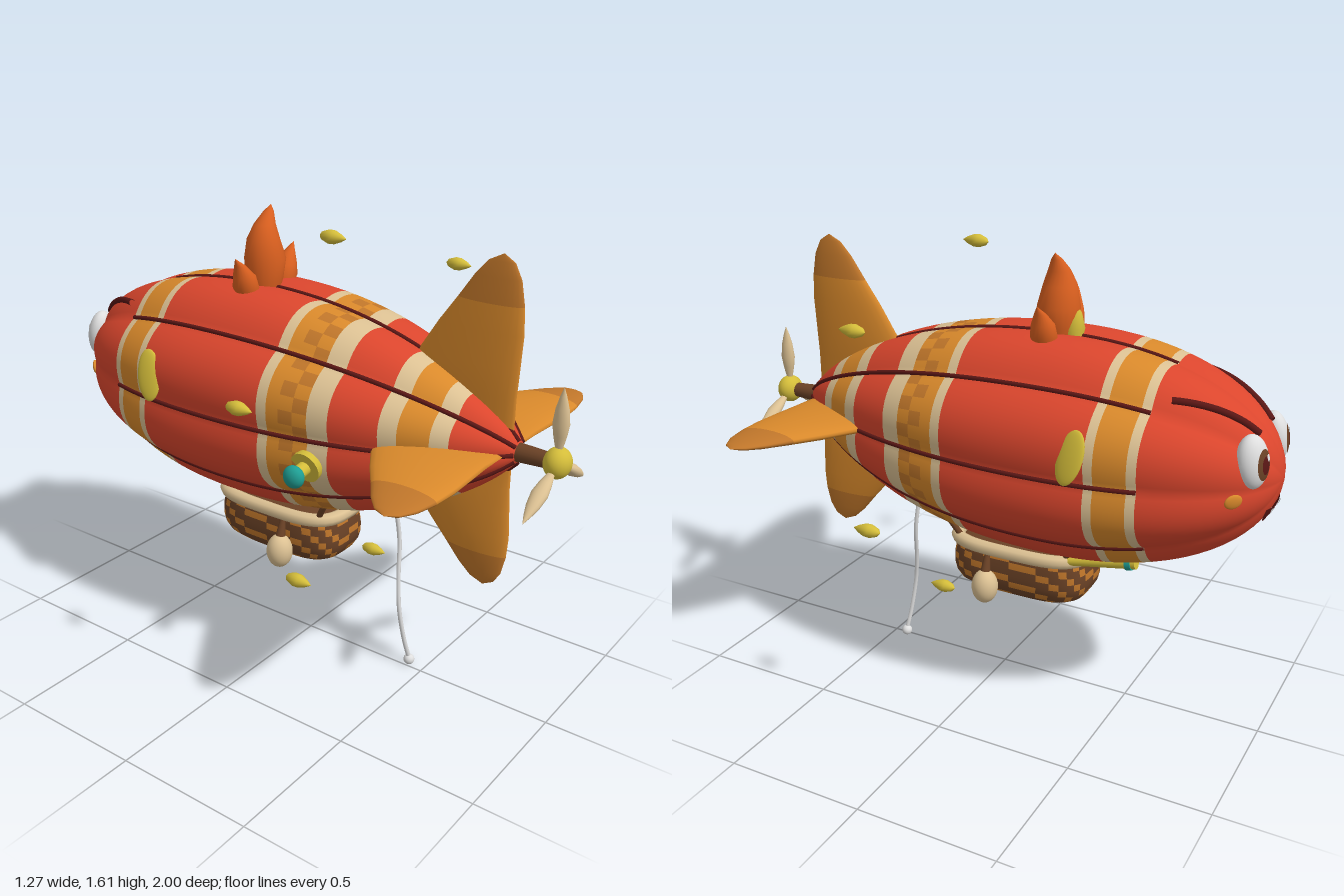
import * as THREE from 'three';

const mat = (name, color) => Object.assign(new THREE.MeshStandardMaterial({ color }), { name });
const V = (x, y, z) => new THREE.Vector3(x, y, z);
const AXIS = 0.96; // height of the hull's centre line

// Hull radius along z, its inverse on the nose, and the lobed skin
const radius = z => z < -0.22
  ? 0.385 * Math.sqrt(Math.max(0, 1 - ((-0.22 - z) / 0.78) ** 2.2))
  : 0.385 * Math.max(0, 1 - ((z + 0.22) / 1.06) ** 2.2) ** 0.75;
const noseZ = r => -0.22 - 0.78 * (1 - (r / 0.385) ** 2) ** (1 / 2.2);
const skin = (angle, z, lift = 0) => {
  const r = radius(z) * (0.972 + 0.075 * Math.abs(Math.sin(4 * angle))) + lift;
  return V(r * Math.cos(angle), AXIS + r * Math.sin(angle), z);
};

// Joins closed rings into a skin; pick(row, column) chooses the material index
function loft(rings, count = 1, pick = () => 0) {
  const n = rings[0].length, lists = Array.from({ length: count }, () => []);
  for (let i = 0; i < rings.length - 1; i++) for (let j = 0; j < n; j++) {
    const a = i * n + j, b = i * n + (j + 1) % n;
    lists[pick(i, j)].push(a, b, b + n, a, b + n, a + n);
  }
  const g = new THREE.BufferGeometry().setFromPoints(rings.flat());
  g.setIndex(lists.flat());
  let start = 0;
  lists.forEach((l, k) => { g.addGroup(start, l.length, k); start += l.length; });
  g.computeVertexNormals();
  return g;
}

// Horizontal ring; power below 1 squares it off
function ring(y, a, b, cx = 0, cz = 0, n = 20, power = 1) {
  const f = v => Math.sign(v) * Math.abs(v) ** power;
  return Array.from({ length: n }, (_, j) => {
    const t = j / n * Math.PI * 2;
    return V(cx + a * f(Math.sin(t)), y, cz + b * f(Math.cos(t)));
  });
}

export function createModel() {
  const root = new THREE.Group();
  root.name = 'fishAirship';
  const red = mat('hull red', 0xdb462d), amber = mat('amber', 0xd9892b), cream = mat('cream', 0xdcc193);
  const maroon = mat('dark maroon', 0x5a1715), brown = mat('brown', 0x6b4226), gold = mat('gold', 0xd4bd3a);
  const flame = mat('flame orange', 0xdb601f), teal = mat('teal', 0x1f9e93);
  const white = mat('soft white', 0xdedede), copper = mat('copper', 0xc0762a);
  maroon.side = white.side = THREE.DoubleSide;

  const add = (name, geo, material, parent = root) => {
    const m = new THREE.Mesh(geo, material);
    m.name = name;
    parent.add(m);
    return m;
  };
  const ball = (name, material, p, sx, sy = sx, sz = sx, parent = root) => {
    const m = add(name, new THREE.SphereGeometry(1, 24, 16), material, parent);
    m.position.copy(p);
    m.scale.set(sx, sy, sz);
    return m;
  };
  const rod = (name, material, a, b, r0, r1 = r0) => {
    const m = add(name, new THREE.CylinderGeometry(r1, r0, a.distanceTo(b), 20), material);
    m.position.copy(a).lerp(b, 0.5);
    m.quaternion.setFromUnitVectors(V(0, 1, 0), b.clone().sub(a).normalize());
    return m;
  };
  const tube = (name, material, pts, r, closed = false) =>
    add(name, new THREE.TubeGeometry(new THREE.CatmullRomCurve3(pts, closed), 64, r, 8, closed), material);

  // Hull with painted bands: [end z, rows, colour index]; index 3 marks the chequered rows
  const bands = [[-0.63, 14, 0], [-0.6, 1, 2], [-0.496, 3, 1], [-0.466, 1, 2], [0.053, 12, 0], [0.09, 1, 2], [0.135, 1, 1],
    [0.235, 2, 3], [0.305, 2, 2], [0.462, 4, 0], [0.518, 2, 2], [0.61, 3, 1], [0.662, 2, 2], [0.84, 8, 0]];
  const zs = [-1], colours = [];
  for (const [end, rows, c] of bands) {
    const from = zs[zs.length - 1];
    for (let k = 1; k <= rows; k++) {
      const t = k / rows;
      zs.push(from + (end - from) * (from === -1 ? t * t : t));
      colours.push(c);
    }
  }
  const hullRings = zs.map(z => Array.from({ length: 96 }, (_, j) => skin(j / 96 * Math.PI * 2, z)));
  add('hull', loft(hullRings, 4, (i, j) =>
    colours[i] < 3 ? colours[i] : ((j >> 1) + i) % 2 ? 3 : 1), [red, amber, cream, copper]);

  // Seams in the grooves
  for (let k = 0; k < 8; k++)
    tube('seam', maroon, Array.from({ length: 24 }, (_, i) => skin(k * Math.PI / 4, -0.63 + i * 1.45 / 23, 0.002)), 0.008);

  // Tail fins: [span, leading z, trailing z, half thickness]
  const finRings = [[0.05, 0.3, 0.8, 0.02], [0.17, 0.38, 0.8, 0.03], [0.27, 0.44, 0.805, 0.032], [0.38, 0.51, 0.81, 0.03],
    [0.47, 0.575, 0.805, 0.026], [0.55, 0.63, 0.79, 0.018], [0.6, 0.675, 0.765, 0.01], [0.625, 0.725, 0.725, 0]]
    .map(([s, a, b, t]) => ring(s, t, (b - a) / 2, 0, (a + b) / 2, 24));
  const finGeo = loft(finRings, 2, i => i >= 4 ? 1 : 0);
  for (let k = 0; k < 4; k++) {
    const fin = add('tailFin', finGeo, [amber, copper]);
    fin.position.y = AXIS;
    fin.rotation.z = k * Math.PI / 2;
    if (k === 2) fin.scale.y = 0.82;
  }

  // Propeller
  rod('propellerShaft', brown, V(0, AXIS, 0.78), V(0, AXIS, 0.94), 0.034, 0.026);
  ball('propellerHub', gold, V(0, AXIS, 0.955), 0.052, 0.052, 0.045);
  const bladeGeo = new THREE.LatheGeometry([[0.008, 0.03], [0.022, 0.09], [0.028, 0.13], [0.022, 0.18], [0.011, 0.22], [0, 0.25]]
    .map(p => new THREE.Vector2(...p)), 16);
  for (let k = 0; k < 3; k++) {
    const blade = add('propellerBlade', bladeGeo, cream);
    blade.position.set(0, AXIS, 0.955);
    blade.rotation.z = k * Math.PI * 2 / 3;
    blade.scale.x = 0.75;
  }

  // Flame crest: [y, centre x, radius]
  const fire = (name, material, rows, side, z) =>
    add(name, loft(rows.map(([y, x, r]) => ring(y, r, r, x * side, z))), material);
  fire('mainFlame', flame, [[1.3, 0, 0.05], [1.36, 0, 0.066], [1.43, 0.005, 0.074], [1.5, -0.003, 0.058],
    [1.55, 0.006, 0.038], [1.59, 0.028, 0.018], [1.612, 0.042, 0]], 1, -0.205);
  for (const side of [-1, 1])
    fire('sideFlame', flame, [[1.3, 0.09, 0.035], [1.35, 0.108, 0.046], [1.39, 0.115, 0.04], [1.43, 0.137, 0.02], [1.46, 0.162, 0]], side, -0.2);
  fire('smallFlame', gold, [[1.3, 0, 0.028], [1.36, 0, 0.04], [1.41, 0, 0.028], [1.46, 0.01, 0]], 1, -0.257);

  // Face
  const cap = (angle, lift) => new THREE.SphereGeometry(lift, 24, 8, 0, Math.PI * 2, 0, angle).rotateX(Math.PI / 2);
  for (const side of [-1, 1]) {
    const eye = new THREE.Group();
    eye.name = 'eye';
    eye.position.set(side * 0.128, 1.05, -0.93);
    eye.lookAt(V(side * 0.53, 1.2, -1.83));
    eye.scale.set(0.06, 0.088, 0.045);
    root.add(eye);
    add('eyeWhite', new THREE.SphereGeometry(1, 24, 16), white, eye);
    const look = new THREE.Group();
    look.name = 'iris';
    look.rotation.set(0.1, side * 0.2, 0);
    eye.add(look);
    add('irisDisc', cap(0.6, 1.03), brown, look);
    add('pupil', cap(0.32, 1.06), maroon, look);
    add('glint', cap(0.13, 1.09), white, look).rotation.set(-0.25, 0.2, 0);

    tube('brow', maroon, Array.from({ length: 8 }, (_, i) => {
      const t = i / 7;
      return skin(Math.PI / 2 - side * (0.617 - 0.22 * t), -0.68 - 0.25 * t, 0.004);
    }), 0.012);

    const cheekAngle = side > 0 ? -0.13 : Math.PI + 0.13;
    const cheek = ball('cheek', amber, skin(cheekAngle, -0.9), 0.032, 0.025, 0.009);
    cheek.lookAt(cheek.position.clone().add(V(side * 0.65, -0.1, -0.75)));

    // Gill leaf on the hull's flank
    const gill = ball('gill', gold, V(side * 0.376, 1.055, -0.425), 0.014, 0.092, 0.047);
    gill.rotation.set(-0.15, side * -0.18, side * 0.23);
  }
  // Mouth and teeth follow the nose
  const onNose = (geo, lift) => {
    const p = geo.attributes.position;
    for (let i = 0; i < p.count; i++)
      p.setXYZ(i, p.getX(i), p.getY(i) + AXIS, noseZ(Math.hypot(p.getX(i), p.getY(i)) / 1.04) - lift);
    geo.computeVertexNormals();
    return geo;
  };
  add('mouth', onNose(new THREE.RingGeometry(0.001, 0.078, 24, 6, Math.PI, Math.PI)
    .scale(1, 0.85, 1).translate(0, -0.085, 0), 0.006), maroon);
  for (const x of [-0.04, 0.04])
    add('tooth', onNose(new THREE.CircleGeometry(0.018, 3, -Math.PI / 2).translate(x, -0.098, 0), 0.011), white);

  // Woven basket: [y, half width, half length]
  const basketRings = [[0.365, 0, 0], [0.365, 0.06, 0.12], [0.367, 0.115, 0.215], [0.385, 0.135, 0.245], [0.41, 0.147, 0.26],
    [0.435, 0.151, 0.266], [0.46, 0.151, 0.267], [0.485, 0.15, 0.265], [0.51, 0.147, 0.26], [0.54, 0.142, 0.255], [0.54, 0, 0]]
    .map(([y, a, b]) => ring(y, a, b, 0, -0.092, 64, 0.55));
  add('basket', loft(basketRings, 2, (i, j) => ((j >> 1) + i) % 3 === 0 && i < 9 ? 1 : 0), [brown, copper]);
  tube('basketRim', cream, ring(0.548, 0.15, 0.255, 0, -0.092, 32, 0.6), 0.025, true);
  for (const side of [-1, 1]) {
    rod('basketStrut', brown, V(side * 0.11, 0.54, 0.11), V(side * 0.145, 0.66, 0.18), 0.011);
    rod('basketStrut', brown, V(side * 0.11, 0.54, -0.28), V(side * 0.145, 0.66, -0.37), 0.011);
    ball('sandbag', cream, V(side * 0.177, 0.41, -0.01), 0.048, 0.064, 0.048);
    rod('sandbagTie', brown, V(side * 0.172, 0.465, -0.01), V(side * 0.155, 0.53, -0.01), 0.018, 0.01);
  }

  // Telescope
  const eyeEnd = V(0.12, 0.555, -0.31), farEnd = V(0.12, 0.608, -0.565);
  rod('telescope', gold, eyeEnd, farEnd, 0.015, 0.021);
  rod('telescopeRing', teal, eyeEnd.clone().lerp(farEnd, 0.86), eyeEnd.clone().lerp(farEnd, 0.94), 0.025);

  // Side horn
  rod('hornFlange', gold, V(-0.325, 0.876, 0.235), V(-0.347, 0.87, 0.235), 0.056);
  rod('hornTube', gold, V(-0.33, 0.873, 0.235), V(-0.39, 0.863, 0.235), 0.024);
  ball('hornCap', teal, V(-0.405, 0.86, 0.235), 0.028, 0.039, 0.039);

  // Mooring line
  tube('mooringLine', white, [V(0.01, 0.67, 0.355), V(0.02, 0.5, 0.378), V(-0.005, 0.36, 0.395),
    V(-0.02, 0.24, 0.412), V(-0.005, 0.11, 0.428), V(0.015, 0.025, 0.44)], 0.008);
  ball('mooringKnot', maroon, V(0.01, 0.657, 0.355), 0.017);
  ball('mooringWeight', white, V(0.015, 0.02, 0.44), 0.02);

  // Drifting seeds
  const seedGeo = new THREE.LatheGeometry([[0, -0.05], [0.014, -0.038], [0.023, -0.012], [0.022, 0.008], [0.012, 0.034], [0, 0.054]]
    .map(p => new THREE.Vector2(...p)), 16).rotateX(Math.PI / 2);
  for (const p of [[-0.14, 1.585, 0.19], [0.47, 1.39, 0.305], [-0.61, 1.15, 0.185], [0.61, 0.77, 0.185], [-0.47, 0.53, 0.3], [0.137, 0.342, 0.19]])
    add('seed', seedGeo, gold).position.set(...p);

  return root;
}
